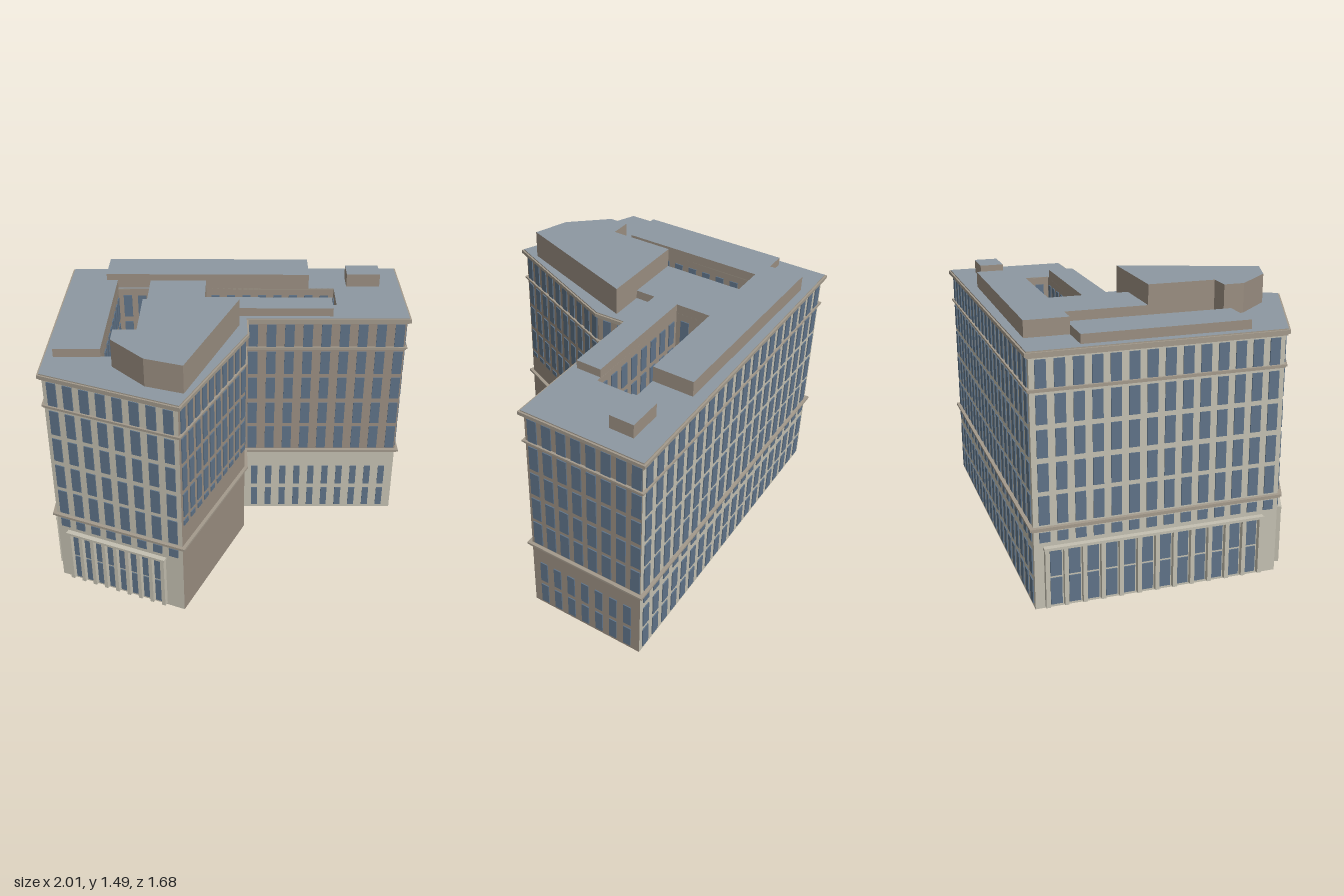
import * as THREE from 'three';
import { mergeGeometries } from 'three/addons/utils/BufferGeometryUtils.js';

const mat = (name, color, side = THREE.FrontSide) => {
  const m = new THREE.MeshStandardMaterial({ color, side });
  m.name = name;
  return m;
};

// Footprint corners (x, z), running left to right as seen from outside
const G = [-0.98, 0.51], F = [-0.265, 0.81], E = [0.063, 0.06], D = [0.058, -0.135],
  C = [0.978, -0.143], B = [0.973, -0.818], A = [-0.98, -0.79];
const FOOTPRINT = [G, F, E, D, C, B, A];
const ROOF_Y = 1.328;

// Window rows as [bottom, top]
const UPPER = [[1.145, 1.283], [0.967, 1.112], [0.8, 0.94], [0.628, 0.77], [0.453, 0.603]];
const UPPER_CUT = [...UPPER.slice(0, 4), [0.573, 0.603]];
const SMALL = [[0.36, 0.412]];
const LOWER = [[0.18, 0.315], [0.02, 0.15]];

// Mitred outward offset of a footprint
function offset(pts, d) {
  const n = pts.length;
  return pts.map((p, i) => {
    const normal = (a, b) => {
      const l = Math.hypot(b[0] - a[0], b[1] - a[1]);
      return [-(b[1] - a[1]) / l, (b[0] - a[0]) / l];
    };
    const n1 = normal(pts[(i + n - 1) % n], p), n2 = normal(p, pts[(i + 1) % n]);
    const k = d / (1 + n1[0] * n2[0] + n1[1] * n2[1]);
    return [p[0] + (n1[0] + n2[0]) * k, p[1] + (n1[1] + n2[1]) * k];
  });
}

const toVectors = pts => pts.map(([x, z]) => new THREE.Vector2(x, -z));

// Upright prism from a plan outline, with optional holes
function prism(pts, y0, y1, holes = []) {
  const shape = new THREE.Shape(toVectors(pts));
  holes.forEach(h => shape.holes.push(new THREE.Path(toVectors(h))));
  const g = new THREE.ExtrudeGeometry(shape, { depth: y1 - y0, bevelEnabled: false });
  return g.rotateX(-Math.PI / 2).translate(0, y0, 0);
}

const rect = (x0, x1, z0, z1) => [[x0, z0], [x1, z0], [x1, z1], [x0, z1]];

function box(x, y0, y1, w, out) {
  return new THREE.BoxGeometry(w, y1 - y0, out).translate(x, (y0 + y1) / 2, out / 2);
}

export function createModel() {
  const cream = mat('cream stone', 0xc4c0b1, THREE.DoubleSide);
  const brown = mat('brown stone', 0x9a8e81, THREE.DoubleSide);
  const glass = mat('window blue', 0x5f7388);
  const roofing = mat('roof grey', 0x8d98a1, THREE.DoubleSide);
  const trim = mat('trim stone', 0xa39a8c);

  const model = new THREE.Group();
  model.name = 'building';
  const add = (parent, name, geometry, material) => {
    const m = new THREE.Mesh(geometry, material);
    m.name = name;
    parent.add(m);
    return m;
  };

  // One facade: wall bands [y0, y1, material] and window sets
  // { rows, n, w, from, to }, from and to being distances along the wall
  function facade(name, a, b, bands, sets) {
    const dx = b[0] - a[0], dz = b[1] - a[1], len = Math.hypot(dx, dz);
    const g = new THREE.Group();
    g.name = name;
    g.position.set(a[0], 0, a[1]);
    g.rotation.y = -Math.atan2(dz, dx);
    for (const [y0, y1, m] of bands) {
      const wall = new THREE.PlaneGeometry(len, y1 - y0).translate(len / 2, (y0 + y1) / 2, 0);
      add(g, name + 'Wall', wall, m);
    }
    const panes = [];
    for (const { rows, n, w = 0.054, from = 0.055, to = len - 0.055 } of sets) {
      for (let i = 0; i < n; i++) {
        const x = n > 1 ? from + (to - from) * i / (n - 1) : len / 2;
        for (const [y0, y1] of rows) panes.push(box(x, y0, y1, w, 0.006));
      }
    }
    if (panes.length) add(g, name + 'Windows', mergeGeometries(panes), glass);
    model.add(g);
    return g;
  }

  // Row of pilasters with a lintel over the ground-floor windows
  function colonnade(parent, from, to, n) {
    const step = (to - from) / n, posts = [], panes = [];
    for (let i = 0; i <= n; i++) {
      const x = from + step * i;
      posts.push(box(x, 0.012, 0.325, 0.022, 0.028));
      if (i < n) for (const [y0, y1] of [[0.172, 0.322], [0.015, 0.16]]) {
        panes.push(box(x + step / 2, y0, y1, step * 0.62, 0.006));
      }
    }
    posts.push(box((from + to) / 2, 0.322, 0.336, to - from + 0.03, 0.03));
    add(parent, 'pilasters', mergeGeometries(posts), cream);
    add(parent, 'groundWindows', mergeGeometries(panes), glass);
  }

  const allCream = [[0, 1.325, cream]], allBrown = [[0, 1.325, brown]];
  const front = facade('frontWing', G, F, allCream,
    [{ rows: [...UPPER, ...SMALL], n: 8, from: 0.054, to: 0.722 }]);
  colonnade(front, 0.08, 0.66, 8);
  facade('slantedSide', F, E, allBrown, [{ rows: UPPER_CUT, n: 10, w: 0.048, from: 0.045, to: 0.785 }]);
  facade('innerCorner', E, D, allBrown, [{ rows: UPPER_CUT, n: 2, w: 0.048, from: 0.06, to: 0.15 }]);
  facade('frontRecess', D, C, [[0, 0.43, cream], [0.43, 1.325, brown]], [
    { rows: UPPER, n: 9, from: 0.05, to: 0.885 },
    { rows: LOWER, n: 10, w: 0.038, from: 0.067, to: 0.85 }]);
  facade('rightSide', C, B, allBrown, [
    { rows: UPPER, n: 8, from: 0.045, to: 0.645 },
    { rows: LOWER, n: 7, w: 0.045, from: 0.07, to: 0.6 }]);
  facade('back', B, A, allCream, [
    { rows: [...UPPER, ...SMALL], n: 20 },
    { rows: LOWER, n: 20 }]);
  const left = facade('leftSide', A, G, allCream, [{ rows: [...UPPER, ...SMALL], n: 14 }]);
  colonnade(left, 0.06, 1.2, 12);

  // Light wells sunk into the roof
  const wells = [rect(-0.17, 0.59, -0.53, -0.3), rect(-0.695, -0.5, -0.52, 0.33)];
  for (const well of wells) {
    well.forEach((p, i) => {
      const q = well[(i + 1) % 4];
      const n = Math.max(2, Math.round(Math.hypot(q[0] - p[0], q[1] - p[1]) / 0.1));
      facade('lightWell', p, q, [[0.44, ROOF_Y, brown]], [{ rows: UPPER, n, w: 0.05 }]);
    });
    add(model, 'lightWellFloor', prism(well, 0.438, 0.442), roofing);
  }

  // Roof slab with openings for the wells
  add(model, 'roof', prism(offset(FOOTPRINT, 0.012), 1.32, ROOF_Y, wells), [roofing, trim]);

  // Belt courses and stepped cornice: [y0, y1, projection]
  const courses = [
    [0.422, 0.431, 0.012], [0.431, 0.443, 0.02],
    [1.126, 1.134, 0.008], [1.134, 1.143, 0.014],
    [1.293, 1.303, 0.012], [1.303, 1.322, 0.022]];
  for (const [y0, y1, out] of courses) {
    add(model, y0 > 1.2 ? 'cornice' : 'beltCourse',
      prism(offset(FOOTPRINT, out), y0, y1, [offset(FOOTPRINT, -0.002)]), trim);
  }

  // Rooftop blocks: [name, plan, top]
  const blocks = [
    ['rearPenthouse', rect(-0.76, 0.44, -0.76, -0.53), 1.415],
    ['leftPenthouse', rect(-0.945, -0.695, -0.53, 0.34), 1.376],
    ['middlePenthouse', [[-0.5, -0.53], [-0.17, -0.53], [-0.17, -0.3], [0.56, -0.3],
      [0.56, -0.155], [-0.17, -0.155], [-0.17, -0.04], [-0.5, -0.04]], 1.376],
    ['tallPenthouse', [[-0.5, -0.04], [0.03, -0.04], [-0.24, 0.71], [-0.44, 0.64],
      [-0.625, 0.44], [-0.625, 0.33], [-0.5, 0.33]], 1.485],
    ['stairHousing', rect(0.668, 0.865, -0.695, -0.56), 1.405]];
  for (const [name, plan, top] of blocks) {
    add(model, name, prism(plan, ROOF_Y - 0.004, top), [roofing, brown]);
  }
  return model;
}
